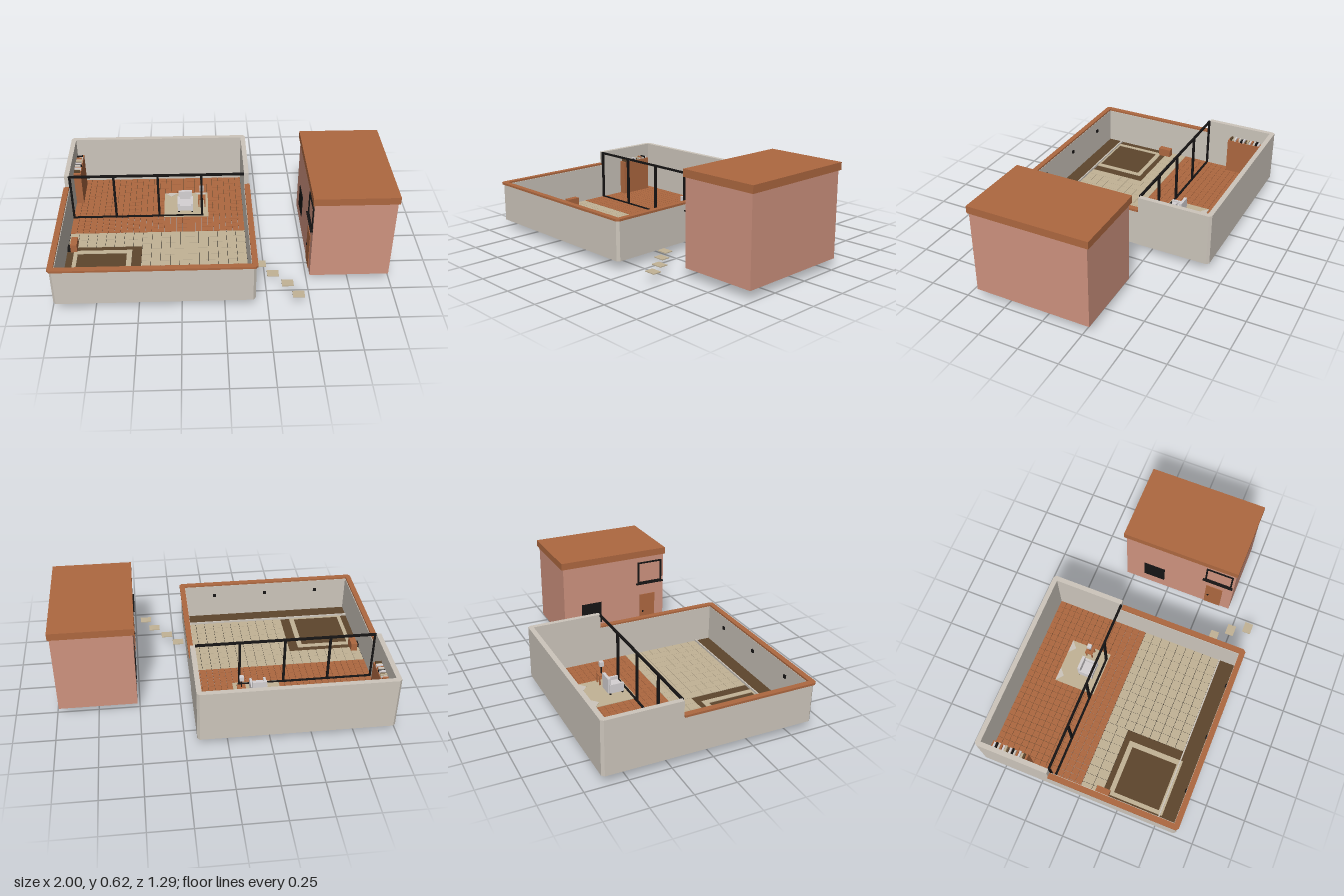
import * as THREE from 'three';
import { mergeGeometries } from 'three/addons/utils/BufferGeometryUtils.js';

const mat = (name, color) => {
  const m = new THREE.MeshStandardMaterial({ color });
  m.name = name;
  return m;
};

export function createModel() {
  const plaster = mat('plaster', 0xcdc6bc);
  const terracotta = mat('terracotta', 0xae6840);
  const pink = mat('pink render', 0xcf937f);
  const sand = mat('sandstone', 0xc2b396);
  const soil = mat('soil', 0x5d452c);
  const black = mat('black metal', 0x161414);
  const water = mat('water', 0x2b6a70);
  const fabric = mat('pale fabric', 0xd6d2d4);

  const root = new THREE.Group();
  root.name = 'courtyardHouse';
  const group = (name) => {
    const g = new THREE.Group();
    g.name = name;
    root.add(g);
    return g;
  };
  const add = (parent, name, geo, material) => {
    const m = new THREE.Mesh(geo, material);
    m.name = name;
    parent.add(m);
    return m;
  };

  // Box geometry from its minimum and maximum on each axis
  const boxGeo = (x0, x1, y0, y1, z0, z1) =>
    new THREE.BoxGeometry(x1 - x0, y1 - y0, z1 - z0)
      .translate((x0 + x1) / 2, (y0 + y1) / 2, (z0 + z1) / 2);
  const box = (parent, name, material, ...b) => add(parent, name, boxGeo(...b), material);

  // Ground plan outline of [x, z] points raised from y0 to y1
  const toPoints = (pts) => pts.map(([x, z]) => new THREE.Vector2(x, -z));
  const plan = (pts, y0, y1, hole) => {
    const s = new THREE.Shape(toPoints(pts));
    if (hole) s.holes.push(new THREE.Path(toPoints(hole)));
    return new THREE.ExtrudeGeometry(s, { depth: y1 - y0, bevelEnabled: false })
      .rotateX(-Math.PI / 2).translate(0, y0, 0);
  };
  const rect = (x0, x1, z0, z1) => [[x0, z0], [x0, z1], [x1, z1], [x1, z0]];

  // U-shaped wall with clipped outer corners, open towards zOpen
  const uWall = (x0, x1, zOpen, zEnd, t, y0, y1) => {
    const d = Math.sign(zEnd - zOpen), c = 0.015;
    return plan([
      [x0, zOpen], [x0, zEnd - d * c], [x0 + c, zEnd], [x1 - c, zEnd], [x1, zEnd - d * c], [x1, zOpen],
      [x1 - t, zOpen], [x1 - t, zEnd - d * t], [x0 + t, zEnd - d * t], [x0 + t, zOpen],
    ], y0, y1);
  };

  // Grid of square tiles with narrow joints
  const tiles = (x0, x1, z0, z1, step, y0, y1) => {
    const nx = Math.round((x1 - x0) / step), nz = Math.round((z1 - z0) / step);
    const sx = (x1 - x0) / nx, sz = (z1 - z0) / nz, gap = 0.001, list = [];
    for (let i = 0; i < nx; i++) {
      for (let j = 0; j < nz; j++) {
        const x = x0 + i * sx, z = z0 + j * sz;
        list.push(boxGeo(x + gap, x + sx - gap, y0, y1, z + gap, z + sz - gap));
      }
    }
    return mergeGeometries(list);
  };

  // Walls of the room and the courtyard
  const walls = group('walls');
  add(walls, 'roomWall', uWall(-0.99, 0.18, -0.18, -0.645, 0.03, 0.055, 0.39), plaster);
  add(walls, 'courtyardWall', uWall(-0.99, 0.178, -0.18, 0.635, 0.028, 0.055, 0.296), plaster);
  add(walls, 'courtyardCoping', uWall(-1, 0.187, -0.18, 0.643, 0.034, 0.294, 0.307), terracotta);

  // Floors
  const floors = group('floors');
  box(floors, 'roomBase', soil, -0.962, 0.152, 0.055, 0.06, -0.617, -0.18);
  add(floors, 'roomTiles', tiles(-0.96, 0.15, -0.615, -0.18, 0.04, 0.059, 0.064), terracotta);
  add(floors, 'terraceTiles', tiles(-0.962, 0.15, -0.18, -0.01, 0.04, 0.056, 0.064), terracotta);
  box(floors, 'pavingBedRight', black, -0.5, 0.152, 0.055, 0.058, -0.01, 0.505);
  box(floors, 'pavingBedLeft', black, -0.962, -0.5, 0.055, 0.058, -0.01, 0.13);
  add(floors, 'pavingRight', tiles(-0.5, 0.15, -0.01, 0.5, 0.06, 0.0575, 0.063), sand);
  add(floors, 'pavingLeft', tiles(-0.96, -0.5, -0.01, 0.13, 0.06, 0.0575, 0.063), sand);
  box(floors, 'plantingBed', soil, -0.962, 0.15, 0.055, 0.062, 0.505, 0.608);
  box(floors, 'poolSurround', soil, -0.962, -0.5, 0.055, 0.06, 0.13, 0.506);
  box(floors, 'bedKerb', plaster, -0.962, 0.15, 0.058, 0.075, 0.5, 0.508);

  // Sunken pool
  const pool = group('pool');
  add(pool, 'poolWall', plan(rect(-0.92, -0.56, 0.165, 0.52), 0, 0.064, rect(-0.895, -0.592, 0.195, 0.49)), sand);
  box(pool, 'poolWater', water, -0.896, -0.591, 0.006, 0.012, 0.194, 0.491);
  box(pool, 'spoutBlock', terracotta, -0.94, -0.9, 0.06, 0.115, 0.09, 0.175);
  box(pool, 'pump', black, -0.96, -0.94, 0.06, 0.085, 0.125, 0.17);

  // Glazing frame between the room and the terrace
  const glazing = group('glazingFrame');
  box(glazing, 'topRail', black, -0.965, 0.15, 0.378, 0.39, -0.186, -0.172);
  box(glazing, 'bottomRail', black, -0.965, -0.112, 0.06, 0.07, -0.186, -0.172);
  for (const x of [-0.957, -0.68, -0.4, -0.122]) {
    box(glazing, 'post', black, x - 0.007, x + 0.007, 0.06, 0.386, -0.186, -0.172);
  }

  // Rug with pale corners
  const rug = group('rug');
  box(rug, 'rugField', sand, -0.37, -0.08, 0.064, 0.067, -0.43, -0.165);
  for (const [a, b] of [[-0.37, -0.28], [-0.17, -0.08]]) {
    add(rug, 'rugCorner', plan([[a, -0.43], [(a + b) / 2, -0.39], [b, -0.43]], 0.066, 0.068), plaster);
  }

  // Armchair facing the terrace
  const chair = group('armchair');
  box(chair, 'seat', fabric, -0.266, -0.194, 0.078, 0.115, -0.295, -0.213);
  box(chair, 'backrest', fabric, -0.275, -0.185, 0.078, 0.175, -0.31, -0.292);
  for (const x of [-0.28, -0.194]) {
    box(chair, 'armrest', fabric, x, x + 0.014, 0.078, 0.135, -0.3, -0.21);
    for (const z of [-0.3, -0.222]) box(chair, 'leg', black, x + 0.002, x + 0.012, 0.064, 0.08, z, z + 0.01);
  }

  // Side table with a lamp
  const table = group('sideTable');
  box(table, 'tableTop', terracotta, -0.147, -0.095, 0.125, 0.133, -0.314, -0.264);
  for (const x of [-0.145, -0.105]) {
    for (const z of [-0.312, -0.274]) box(table, 'tableLeg', terracotta, x, x + 0.008, 0.064, 0.126, z, z + 0.008);
  }
  box(table, 'lampStem', black, -0.124, -0.118, 0.132, 0.19, -0.292, -0.286);
  box(table, 'lampShade', fabric, -0.134, -0.108, 0.185, 0.215, -0.302, -0.276);

  // Bookcase with a row of books along its top
  const bookcase = group('bookcase');
  box(bookcase, 'bookcaseBody', terracotta, -0.957, -0.91, 0.064, 0.298, -0.57, -0.34);
  const bookColours = [fabric, black, plaster, terracotta, fabric, sand, soil];
  for (let i = 0; i < 14; i++) {
    const z = -0.56 + i * 0.015;
    box(bookcase, 'book', bookColours[i % 7], -0.953, -0.918 + (i % 3) * 0.003, 0.297, 0.308 + (i % 2) * 0.006, z, z + 0.012);
  }

  // Small lights inside the courtyard wall
  const lights = group('wallLights');
  for (const x of [-0.75, -0.4, -0.05]) box(lights, 'wallLight', black, x - 0.01, x + 0.01, 0.215, 0.235, 0.598, 0.609);

  // Stepping stones
  const stones = group('steppingStones');
  for (const [x, z] of [[0.225, 0.32], [0.295, 0.41], [0.375, 0.5], [0.43, 0.6]]) {
    box(stones, 'steppingStone', sand, x - 0.035, x + 0.035, 0.055, 0.06, z - 0.027, z + 0.027);
  }

  // Annex: hollow walls under a flat roof
  const annex = group('annex');
  add(annex, 'annexWalls', plan(rect(0.513, 0.987, -0.287, 0.435), 0.058, 0.576, rect(0.525, 0.975, -0.275, 0.423)), pink);
  box(annex, 'annexRoof', terracotta, 0.503, 0.997, 0.575, 0.62, -0.3, 0.443);
  box(annex, 'door', terracotta, 0.509, 0.529, 0.06, 0.3, 0.26, 0.37);
  box(annex, 'doorKnob', black, 0.503, 0.51, 0.17, 0.18, 0.275, 0.285);
  box(annex, 'darkPanel', black, 0.509, 0.529, 0.15, 0.3, -0.165, -0.025);
  for (const y of [0.385, 0.527]) box(annex, 'windowRail', black, 0.506, 0.53, y, y + 0.01, 0.245, 0.42);
  for (const z of [0.245, 0.41]) box(annex, 'windowStile', black, 0.506, 0.53, 0.385, 0.537, z, z + 0.01);
  box(annex, 'windowSill', black, 0.498, 0.53, 0.378, 0.386, 0.232, 0.43);

  return root;
}
